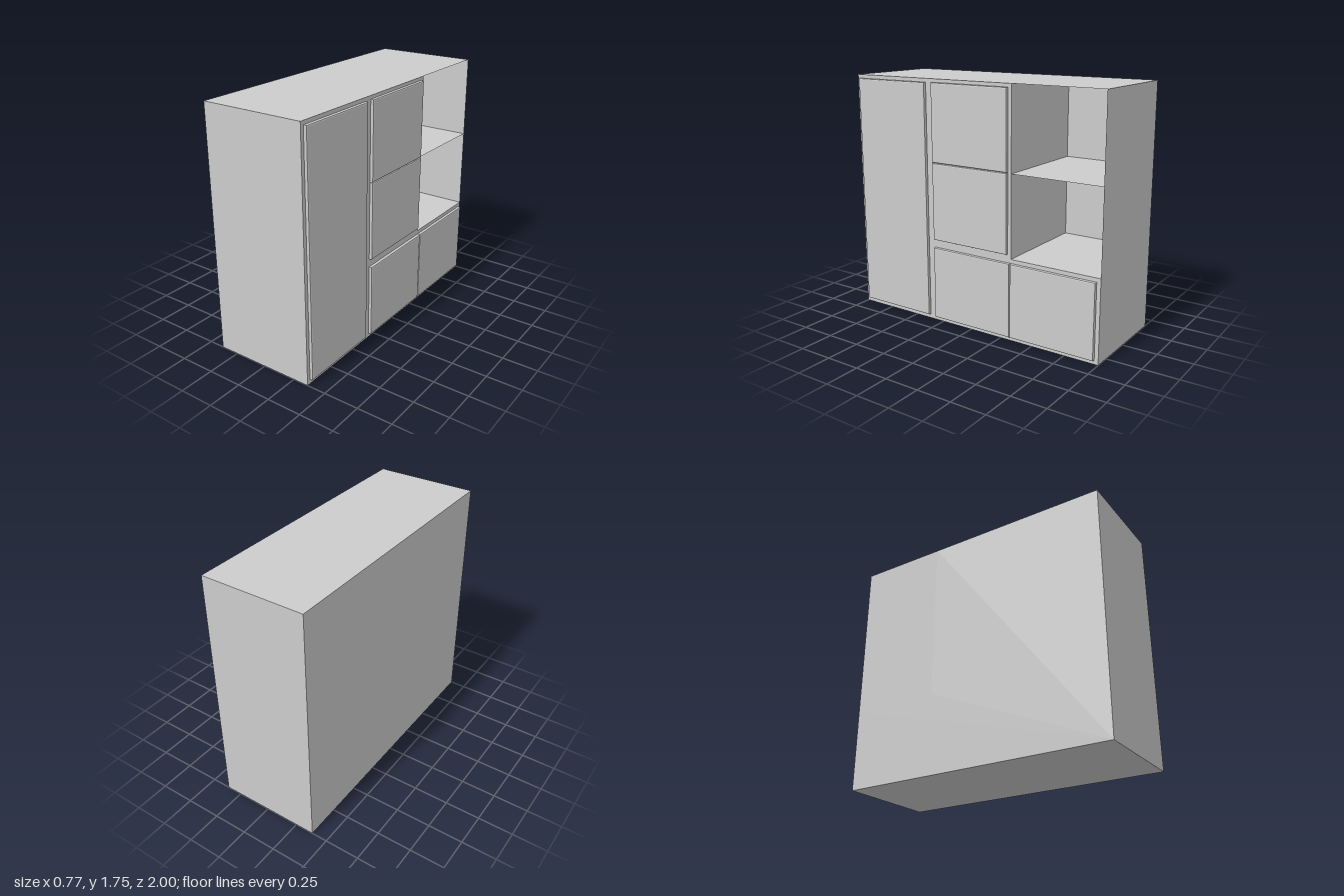
import * as THREE from 'three';

const BACK = -0.385, FRONT = 0.363, TOP = 1.75;   // carcass depth and height
const NICHE_Z = -0.333, NICHE_Y = 0.585;          // inner corner of the open niche
const BEVEL = 0.008;

export function createModel() {
  const cabinet = new THREE.Group();
  cabinet.name = 'cabinet';
  const grey = new THREE.MeshStandardMaterial({ color: 0xcccccc, side: THREE.DoubleSide });
  grey.name = 'light grey';

  const add = (name, geometry) => {
    const mesh = new THREE.Mesh(geometry, grey);
    mesh.name = name;
    cabinet.add(mesh);
    return mesh;
  };

  // Extrudes an outline of [z, y] points along +x
  const extrudeX = (points, options) => {
    const shape = new THREE.Shape(points.map(([z, y]) => new THREE.Vector2(-z, y)));
    return new THREE.ExtrudeGeometry(shape, options).rotateY(Math.PI / 2);
  };

  // L-shaped carcass
  add('carcass', extrudeX(
    [[1, 0], [-1, 0], [-1, NICHE_Y], [NICHE_Z, NICHE_Y], [NICHE_Z, TOP], [1, TOP]],
    { depth: FRONT - BACK, bevelEnabled: false }
  )).position.x = BACK;

  // Thin sheets enclosing the open niche, and its shelf
  const depth = FRONT - BACK, midX = (FRONT + BACK) / 2;
  const width = NICHE_Z + 1, midZ = (NICHE_Z - 1) / 2;
  const height = TOP - NICHE_Y, midY = (TOP + NICHE_Y) / 2;
  for (const [name, y] of [['nicheTop', TOP], ['nicheShelf', midY]]) {
    add(name, new THREE.PlaneGeometry(depth, width).rotateX(-Math.PI / 2)).position.set(midX, y, midZ);
  }
  add('nicheSide', new THREE.PlaneGeometry(depth, height).rotateY(Math.PI)).position.set(midX, midY, -1);
  add('nicheBack', new THREE.PlaneGeometry(width, height).rotateY(-Math.PI / 2)).position.set(BACK, midY, midZ);

  // Door and drawer fronts with bevelled edges: z from, z to, y from, y to
  const fronts = [
    ['tallDoor', 0.367, 0.974, 0.032, 1.724],
    ['upperDoor', -0.308, 0.31, 1.175, 1.726],
    ['middleDoor', -0.308, 0.31, 0.616, 1.171],
    ['lowerLeftDoor', -0.332, 0.31, 0.028, 0.557],
    ['lowerRightDoor', -0.972, -0.336, 0.028, 0.557],
  ];
  for (const [name, z0, z1, y0, y1] of fronts) {
    const a = z0 + BEVEL, b = z1 - BEVEL, c = y0 + BEVEL, d = y1 - BEVEL;
    add(name, extrudeX([[b, c], [a, c], [a, d], [b, d]], {
      depth: 0.016, bevelThickness: BEVEL, bevelSize: BEVEL, bevelSegments: 2,
    })).position.x = 0.385 - 0.016 - BEVEL;
  }
  return cabinet;
}
